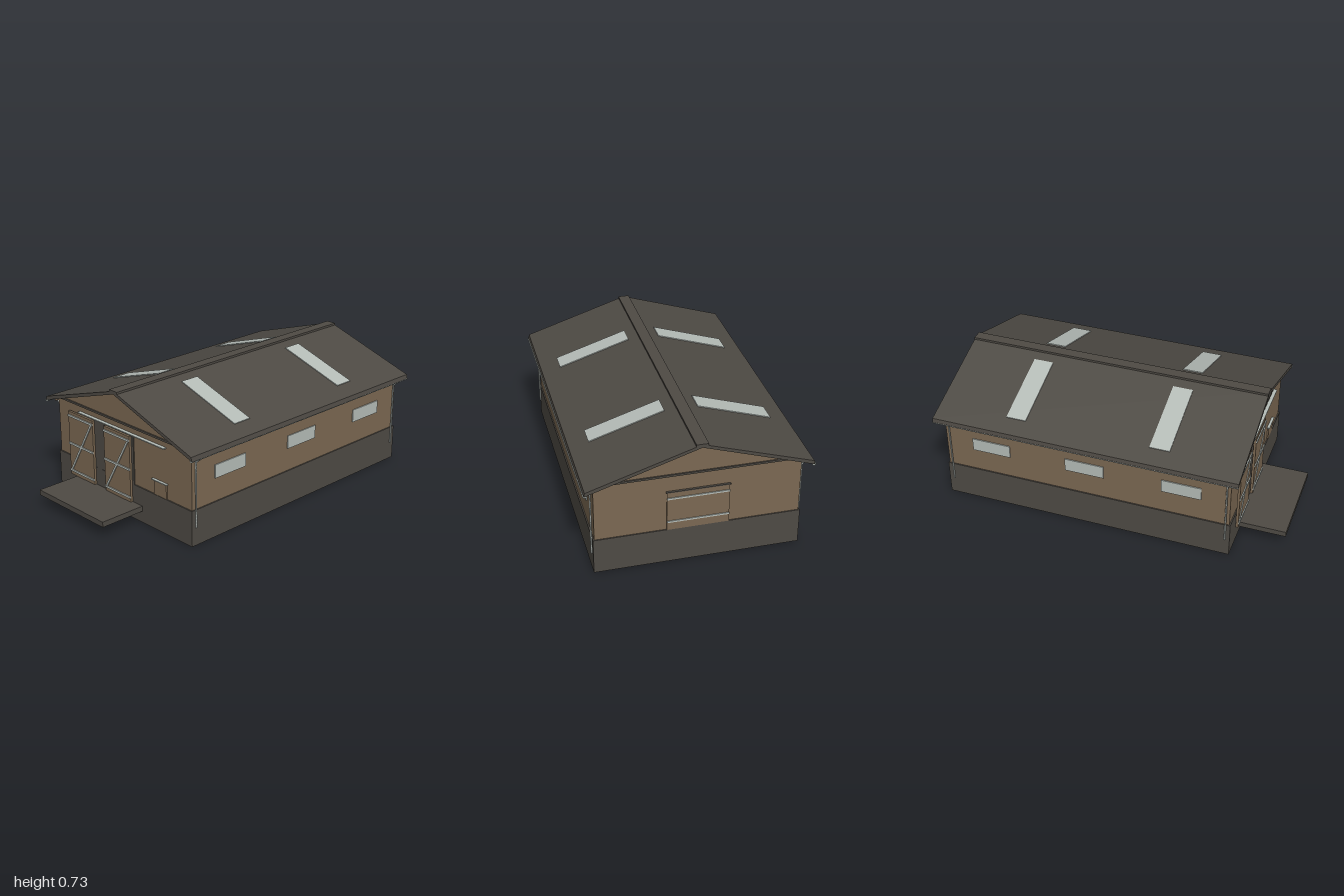
import * as THREE from 'three';

const mat = (name, color, side = THREE.FrontSide) => {
  const m = new THREE.MeshStandardMaterial({ color, side });
  m.name = name;
  return m;
};

export function createModel() {
  const root = new THREE.Group();
  root.name = 'barn';
  const timber = mat('timber brown', 0x7b6852);
  const slate = mat('dark slate', 0x4e4a44);
  const pale = mat('pale grey', 0xb5bcb7, THREE.DoubleSide);

  const add = (name, geo, material, parent = root) => {
    const m = new THREE.Mesh(geo, material);
    m.name = name;
    parent.add(m);
    return m;
  };
  // Box given by its limits on each axis
  const box = (name, x0, x1, y0, y1, z0, z1, material, parent = root) => {
    const m = add(name, new THREE.BoxGeometry(x1 - x0, y1 - y0, z1 - z0), material, parent);
    m.position.set((x0 + x1) / 2, (y0 + y1) / 2, (z0 + z1) / 2);
    return m;
  };
  // Front profile swept along z
  const sweep = (name, pts, z0, z1, material) => {
    const shape = new THREE.Shape(pts.map(([x, y]) => new THREE.Vector2(x, y)));
    const geo = new THREE.ExtrudeGeometry(shape, { depth: z1 - z0, bevelEnabled: false });
    geo.translate(0, 0, z0);
    return add(name, geo, material);
  };

  // Plinth, walls and loading platform
  box('plinth', -0.56, 0.56, 0, 0.205, -0.956, 0.725, slate);
  sweep('walls', [[-0.553, 0.2], [0.553, 0.2], [0.553, 0.53], [0, 0.712], [-0.553, 0.53]],
    -0.95, 0.718, timber);
  box('platform', -0.39, 0.165, 0.067, 0.098, 0.72, 1, slate);

  // Roof and ridge cap
  sweep('roof', [[-0.608, 0.514], [0, 0.711], [0.608, 0.514], [0.603, 0.537], [0, 0.729], [-0.603, 0.537]],
    -1, 0.768, slate);
  sweep('ridgeCap', [[-0.032, 0.712], [0.032, 0.712], [0.032, 0.731], [-0.032, 0.731]],
    -1, 0.768, slate);

  // Gable trim, front and back
  box('frontGableTrim', -0.535, 0.535, 0.533, 0.544, 0.715, 0.726, slate);
  box('backGableTrim', -0.535, 0.535, 0.533, 0.544, -0.958, -0.947, slate);

  // Sliding front doors over a dark opening
  box('doorOpening', -0.34, 0.102, 0.205, 0.486, 0.715, 0.724, slate);
  box('doorRail', -0.36, 0.36, 0.495, 0.501, 0.718, 0.738, pale);
  for (const x of [-0.44, -0.127]) {
    const door = new THREE.Group();
    door.name = 'slidingDoor';
    door.position.x = x;
    root.add(door);
    box('doorPanel', 0, 0.216, 0.1, 0.487, 0.727, 0.741, timber, door);
    for (const y of [0.128, 0.294, 0.463])
      box('doorBatten', 0, 0.216, y - 0.006, y + 0.006, 0.74, 0.747, pale, door);
    const brace = add('doorBrace', new THREE.BoxGeometry(0.376, 0.012, 0.006), pale, door);
    brace.position.set(0.108, 0.293, 0.743);
    brace.rotation.z = Math.atan2(0.325, 0.19);
  }

  // Small front hatch with its rail
  box('hatch', 0.266, 0.364, 0.207, 0.287, 0.715, 0.726, timber);
  box('hatchRail', 0.252, 0.37, 0.289, 0.295, 0.716, 0.733, pale);

  // Back door
  box('backDoor', -0.165, 0.17, 0.205, 0.436, -0.958, -0.948, timber);
  for (const y of [0.257, 0.4])
    box('backDoorBatten', -0.165, 0.17, y - 0.005, y + 0.005, -0.963, -0.956, pale);
  box('backDoorRail', -0.17, 0.175, 0.436, 0.442, -0.962, -0.948, slate);

  // Parts mirrored on both long sides
  const slope = Math.atan2(0.192, 0.603);
  for (const s of [1, -1]) {
    for (const z of [0.443, -0.115, -0.673]) {
      const win = add('sideWindow', new THREE.BoxGeometry(0.008, 0.076, 0.226), pale);
      win.position.set(s * 0.555, 0.377, z);
    }
    for (const z of [0.3, -0.535]) {
      const sky = add('skylight', new THREE.BoxGeometry(0.43, 0.008, 0.115), pale);
      sky.position.set(s * 0.295, 0.729 - 0.295 * Math.tan(slope) + 0.001, z);
      sky.rotation.z = -s * slope;
    }
    // Half-round gutter
    const gutterGeo = new THREE.CylinderGeometry(0.011, 0.011, 1.768, 10, 1, true, -Math.PI / 2, Math.PI);
    gutterGeo.rotateX(Math.PI / 2);
    const gutter = add('gutter', gutterGeo, pale);
    gutter.position.set(s * 0.603, 0.518, -0.116);
    // Downpipes
    for (const z of [0.698, -0.925]) {
      const path = new THREE.CurvePath();
      const pts = [[0.603, 0.51], [0.564, 0.478], [0.564, 0.105]]
        .map(([x, y]) => new THREE.Vector3(s * x, y, z));
      path.add(new THREE.LineCurve3(pts[0], pts[1]));
      path.add(new THREE.LineCurve3(pts[1], pts[2]));
      add('downpipe', new THREE.TubeGeometry(path, 24, 0.005, 6), pale);
    }
    // Rafter tails under the eaves
    for (let i = 0; i <= 40; i++) {
      const z = -0.94 + i * 0.0412;
      const tail = add('rafterTail', new THREE.BoxGeometry(0.05, 0.016, 0.014), timber);
      tail.position.set(s * 0.573, 0.515, z);
      tail.rotation.z = -s * slope;
    }
  }
  return root;
}
